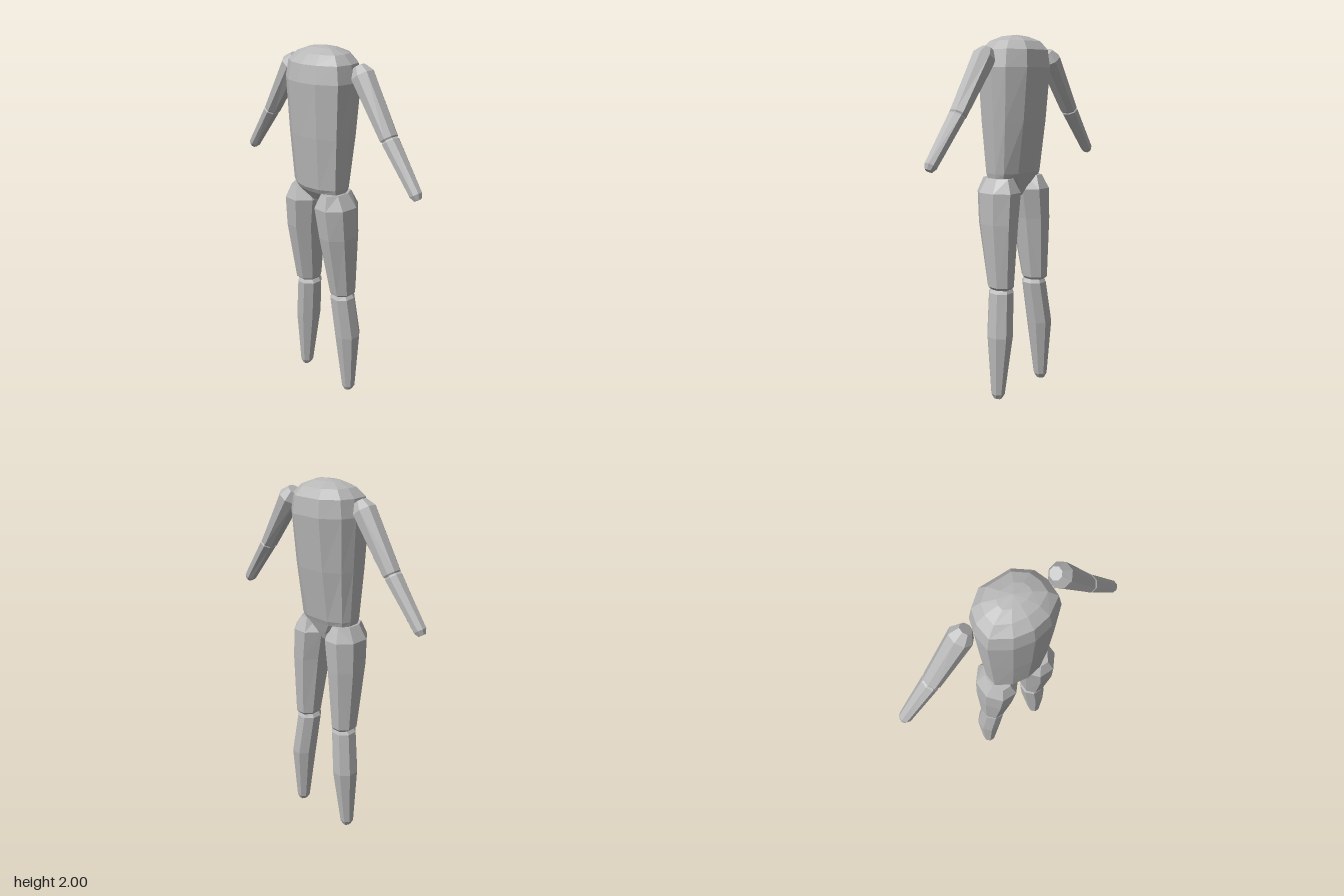
import * as THREE from 'three';

const V = (x, y, z) => new THREE.Vector3(x, y, z);

// Faceted skin over rings ordered upwards, closed by fans; side -1 mirrors it in x.
function loft(rings, side = 1, topTip = null) {
  const pos = [];
  const tri = (a, b, c) => {
    for (const p of side > 0 ? [a, b, c] : [a, c, b]) pos.push(p.x * side, p.y, p.z);
  };
  const n = rings[0].length;
  const centre = (r) => r.reduce((s, p) => s.add(p), V(0, 0, 0)).divideScalar(n);
  const bottom = centre(rings[0]);
  const top = topTip || centre(rings[rings.length - 1]);
  for (let j = 0; j < n; j++) {
    const k = (j + 1) % n;
    tri(bottom, rings[0][j], rings[0][k]);
    for (let i = 0; i < rings.length - 1; i++) {
      const lo = rings[i], up = rings[i + 1];
      tri(lo[j], up[j], lo[k]);
      tri(up[j], up[k], lo[k]);
    }
    const last = rings[rings.length - 1];
    tri(last[k], last[j], top);
  }
  const g = new THREE.BufferGeometry();
  g.setAttribute('position', new THREE.Float32BufferAttribute(pos, 3));
  g.computeVertexNormals();
  return g;
}

// Eight-sided level ring filling the given x and z extents.
function legRing([y, x0, x1, z0, z1]) {
  const ring = [];
  for (let i = 0; i < 8; i++) {
    const a = ((i + 0.5) * Math.PI) / 4, r = 1 / Math.cos(Math.PI / 8);
    ring.push(V((x0 + x1) / 2 + (Math.cos(a) * r * (x1 - x0)) / 2, y,
      (z0 + z1) / 2 + (Math.sin(a) * r * (z1 - z0)) / 2));
  }
  return ring;
}

// Eight-sided ring across the sloping arm: centre x, y, half width, half depth.
function armRing([x, y, w, d]) {
  const ring = [];
  for (let i = 0; i < 8; i++) {
    const a = ((i + 0.5) * Math.PI) / 4, r = 1 / Math.cos(Math.PI / 8);
    const u = Math.cos(a) * r * w;
    ring.push(V(x + u * 0.83, y + u * 0.56, -0.023 + Math.sin(a) * r * d));
  }
  return ring;
}

// Torso outline seen from above, as fractions of half width and depth.
const half = [[1, -0.1], [0.97, 0.5], [0.5, 0.88]];
const backHalf = [[0.45, -1], [0.88, -0.58]];
const outline = [
  ...half, [0, 1],
  ...half.slice().reverse().map(([x, z]) => [-x, z]),
  ...backHalf.slice().reverse().map(([x, z]) => [-x, z]),
  ...backHalf,
];
const torsoRing = ([y, w, front, back]) =>
  outline.map(([x, z]) => V(x * w, y, z > 0 ? z * front : -z * back));

export function createModel() {
  const group = new THREE.Group();
  const grey = new THREE.MeshStandardMaterial({ color: 0xb8b8b8 });
  grey.name = 'grey';
  const add = (name, geometry) => {
    const mesh = new THREE.Mesh(geometry, grey);
    mesh.name = name;
    group.add(mesh);
  };

  // Torso: pelvis point, waist, chest and rounded shoulders (y, half width, front z, back z)
  add('torso', loft([
    [1.14, 0.025, 0.03, -0.04],
    [1.19, 0.075, 0.065, -0.06],
    [1.245, 0.165, 0.11, -0.08],
    [1.27, 0.17, 0.125, -0.09],
    [1.55, 0.19, 0.15, -0.135],
    [1.83, 0.206, 0.165, -0.165],
    [1.92, 0.19, 0.15, -0.155],
    [1.965, 0.145, 0.1, -0.12],
    [1.99, 0.08, 0.045, -0.06],
  ].map(torsoRing), 1, V(0, 2, -0.01)));

  for (const [side, label] of [[1, 'left'], [-1, 'right']]) {
    // Legs (y, inner x, outer x, back z, front z)
    add(label + 'Thigh', loft([
      [0.625, 0.1, 0.185, -0.075, 0.025],
      [0.65, 0.08, 0.21, -0.095, 0.052],
      [1.0, 0.045, 0.225, -0.108, 0.115],
      [1.17, 0.018, 0.222, -0.11, 0.132],
      [1.245, 0.065, 0.175, -0.075, 0.105],
    ].map(legRing), side));
    add(label + 'Shin', loft([
      [0, 0.17, 0.208, -0.06, -0.01],
      [0.03, 0.152, 0.223, -0.075, 0.002],
      [0.37, 0.105, 0.237, -0.11, 0.033],
      [0.615, 0.076, 0.206, -0.09, 0.046],
      [0.635, 0.09, 0.19, -0.08, 0.035],
    ].map(legRing), side));

    // Arms
    add(label + 'UpperArm', loft([
      [0.458, 1.588, 0.03, 0.04],
      [0.45, 1.6, 0.04, 0.049],
      [0.265, 1.875, 0.058, 0.06],
      [0.237, 1.917, 0.03, 0.032],
    ].map(armRing), side));
    add(label + 'Forearm', loft([
      [0.652, 1.337, 0.018, 0.02],
      [0.638, 1.359, 0.031, 0.032],
      [0.462, 1.587, 0.039, 0.047],
      [0.452, 1.602, 0.028, 0.036],
    ].map(armRing), side));
  }
  return group;
}
